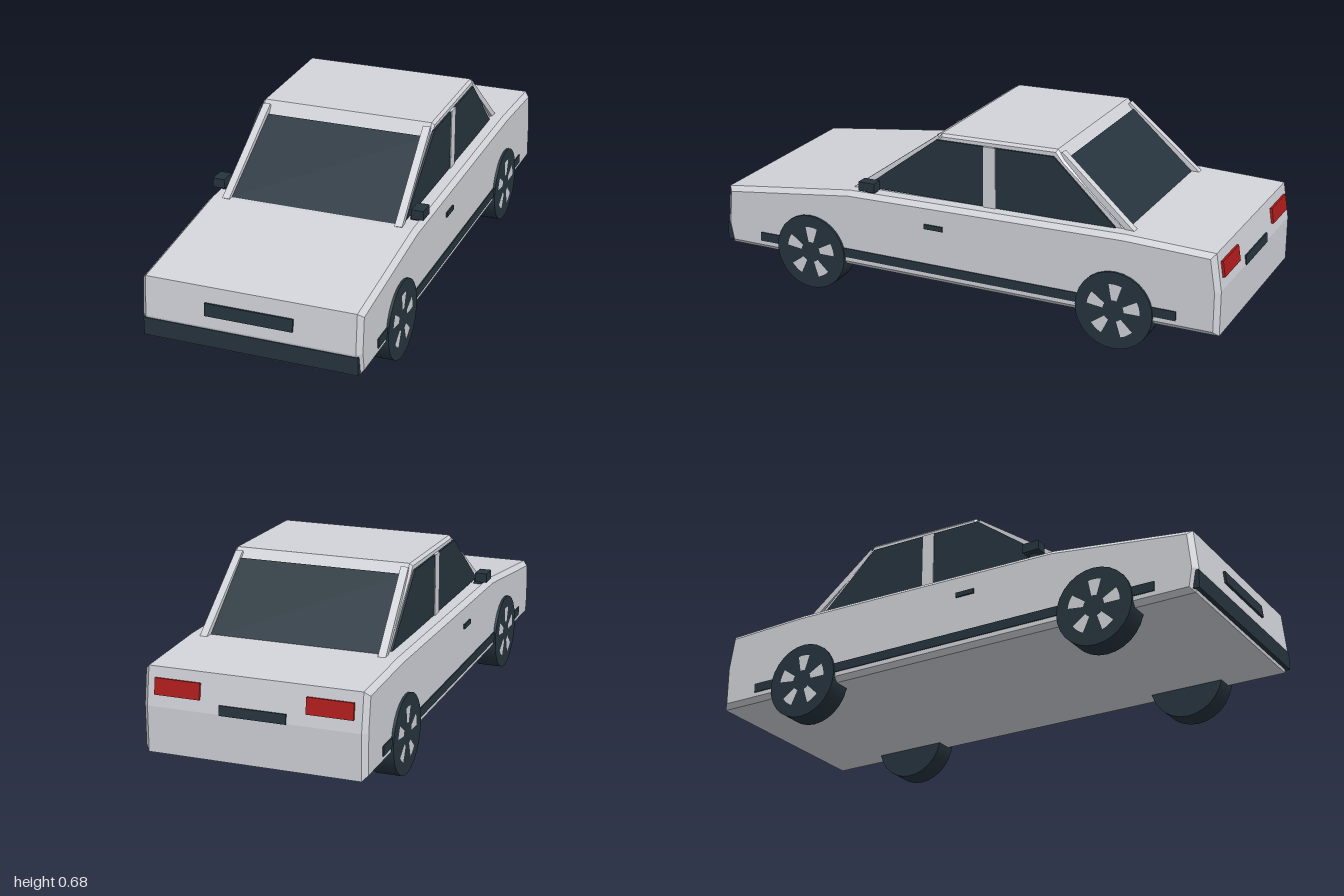
import * as THREE from 'three';

const paint = new THREE.MeshStandardMaterial({ color: 0xd2d4da });
paint.name = 'silver paint';
const dark = new THREE.MeshStandardMaterial({ color: 0x26343e });
dark.name = 'dark trim and glass';
const red = new THREE.MeshStandardMaterial({ color: 0xb01c1c });
red.name = 'tail light red';

export function createModel() {
  const car = new THREE.Group();
  car.name = 'car';

  const add = (name, geometry, material, x = 0, y = 0, z = 0) => {
    const mesh = new THREE.Mesh(geometry, material);
    mesh.name = name;
    mesh.position.set(x, y, z);
    car.add(mesh);
    return mesh;
  };
  const box = (name, material, w, h, d, x, y, z) =>
    add(name, new THREE.BoxGeometry(w, h, d), material, x, y, z);

  // Side profile of [z, y] points, extruded across the car with a bevelled edge
  const across = (points, halfWidth, bevel) => {
    const shape = new THREE.Shape(points.map(([z, y]) => new THREE.Vector2(z, y)));
    const depth = 2 * (halfWidth - bevel);
    const g = new THREE.ExtrudeGeometry(shape, {
      depth, bevelEnabled: bevel > 0, bevelSegments: 1,
      bevelSize: bevel, bevelThickness: bevel, bevelOffset: -bevel,
    });
    return g.translate(0, 0, -depth / 2).rotateY(-Math.PI / 2);
  };

  // Square bar between two points
  const bar = (name, a, b, width, thickness) => {
    const from = new THREE.Vector3(...a), to = new THREE.Vector3(...b);
    const mesh = box(name, paint, width, thickness, from.distanceTo(to), 0, 0, 0);
    mesh.position.copy(from).lerp(to, 0.5);
    mesh.lookAt(to);
  };

  // Lower body
  add('body', across([
    [0.98, 0.115], [0.996, 0.2], [0.982, 0.345], [0.45, 0.412], [-0.64, 0.428],
    [-0.97, 0.416], [-0.992, 0.28], [-0.992, 0.115],
  ], 0.4, 0.018), paint);

  // Cabin and roof
  add('cabin', across([
    [0.44, 0.4], [0.125, 0.62], [0.095, 0.668], [-0.36, 0.677],
    [-0.39, 0.64], [-0.65, 0.4],
  ], 0.336, 0.01), paint);

  // Windscreen and rear window, thin plates lying on the cabin slopes
  const slopeGlass = (name, z0, y0, z1, y1) => {
    const len = Math.hypot(z1 - z0, y1 - y0);
    const mesh = box(name, dark, 0.645, 0.008, len, 0, (y0 + y1) / 2, (z0 + z1) / 2);
    mesh.rotation.x = -Math.atan2(y1 - y0, z1 - z0);
  };
  slopeGlass('windscreen', 0.126, 0.622, 0.432, 0.408);
  slopeGlass('rearWindow', -0.642, 0.41, -0.39, 0.643);

  for (const s of [1, -1]) {
    // Side glass and pillars
    add('sideWindow', across([
      [0.41, 0.42], [0.11, 0.646], [-0.35, 0.652], [-0.59, 0.425],
    ], 0.004, 0), dark, s * 0.339);
    box('doorPillar', paint, 0.012, 0.228, 0.048, s * 0.34, 0.535, -0.103);
    bar('frontPillar', [s * 0.33, 0.405, 0.447], [s * 0.313, 0.65, 0.105], 0.028, 0.022);
    bar('rearPillar', [s * 0.33, 0.415, -0.655], [s * 0.313, 0.66, -0.37], 0.028, 0.022);

    // Trim on the flanks
    box('sideStrip', dark, 0.008, 0.035, 1.68, s * 0.4, 0.167, 0);
    box('doorHandle', dark, 0.014, 0.018, 0.075, s * 0.399, 0.33, 0.095);
    box('mirror', dark, 0.045, 0.035, 0.065, s * 0.382, 0.443, 0.368);
    box('mirrorMount', dark, 0.03, 0.02, 0.03, s * 0.365, 0.42, 0.365);

    // Tail lights, tilted with the upper rear panel
    const light = box('tailLight', red, 0.165, 0.058, 0.016, s * 0.272, 0.35, -0.982);
    light.rotation.x = 0.16;

    // Wheels with five pale openings between the spokes
    for (const z of [0.615, -0.612]) {
      const tyre = new THREE.CylinderGeometry(0.145, 0.145, 0.09, 28).rotateZ(Math.PI / 2);
      add('wheel', tyre, dark, s * 0.364, 0.146, z);
      for (let i = 0; i < 5; i++) {
        const blade = new THREE.RingGeometry(0.04, 0.1, 4, 1, i * Math.PI * 0.4, 0.5);
        blade.rotateY(s * Math.PI / 2);
        add('rimPanel', blade, paint, s * 0.4105, 0.146, z);
      }
    }
  }

  // Front and rear trim
  box('frontBumper', dark, 0.78, 0.066, 0.03, 0, 0.16, 0.983);
  box('grille', dark, 0.32, 0.046, 0.012, 0, 0.265, 0.992).rotation.x = -0.1;
  box('rearPlate', dark, 0.24, 0.035, 0.012, 0, 0.295, -0.988).rotation.x = 0.1;

  return car;
}
